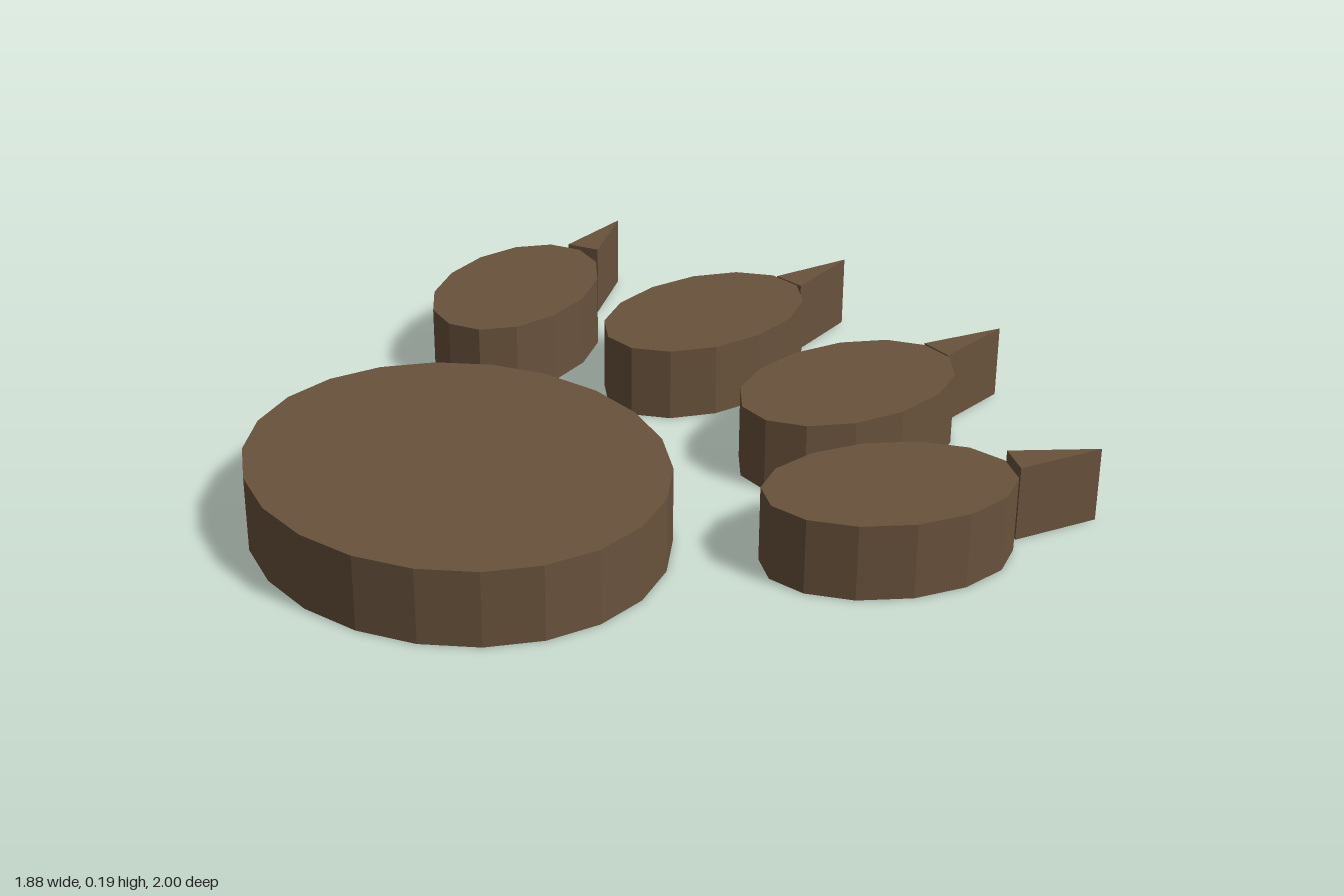
import * as THREE from 'three';

const HEIGHT = 0.19;

export function createModel() {
  const group = new THREE.Group();
  const material = new THREE.MeshStandardMaterial({ color: 0x69523c, flatShading: true });

  const add = (name, geometry) => {
    const mesh = new THREE.Mesh(geometry, material);
    mesh.name = name;
    group.add(mesh);
    return mesh;
  };

  // Faceted oval slab with flat facets at both ends of its long axis
  const addPad = (name, sides, rx, rz, x, z, turn = 0) => {
    const geometry = new THREE.CylinderGeometry(1, 1, HEIGHT, sides, 1, false, Math.PI / sides);
    geometry.scale(rx, 1, rz);
    geometry.rotateY(turn);
    add(name, geometry).position.set(x, HEIGHT / 2, z);
  };

  // Triangular prism standing on the ground, corners given as [x, z]
  const addClaw = (name, corners, side) => {
    const shape = new THREE.Shape(corners.map(([x, z]) => new THREE.Vector2(x * side, -z)));
    const geometry = new THREE.ExtrudeGeometry(shape, { depth: HEIGHT, bevelEnabled: false });
    geometry.rotateX(-Math.PI / 2);
    add(name, geometry);
  };

  // Large heel pad
  addPad('heelPad', 22, 0.545, 0.48, 0, 0.52);

  // Four toes with claws, mirrored left and right
  for (const [label, side] of [['left', 1], ['right', -1]]) {
    addPad(label + 'InnerToe', 14, 0.206, 0.307, 0.275 * side, -0.475, -0.05 * side);
    addClaw(label + 'InnerClaw', [[0.235, -0.783], [0.325, -0.777], [0.293, -1.0]], side);
    addPad(label + 'OuterToe', 14, 0.2, 0.303, 0.72 * side, -0.185, -0.455 * side);
    addClaw(label + 'OuterClaw', [[0.778, -0.51], [0.86, -0.47], [0.912, -0.69]], side);
  }

  return group;
}
